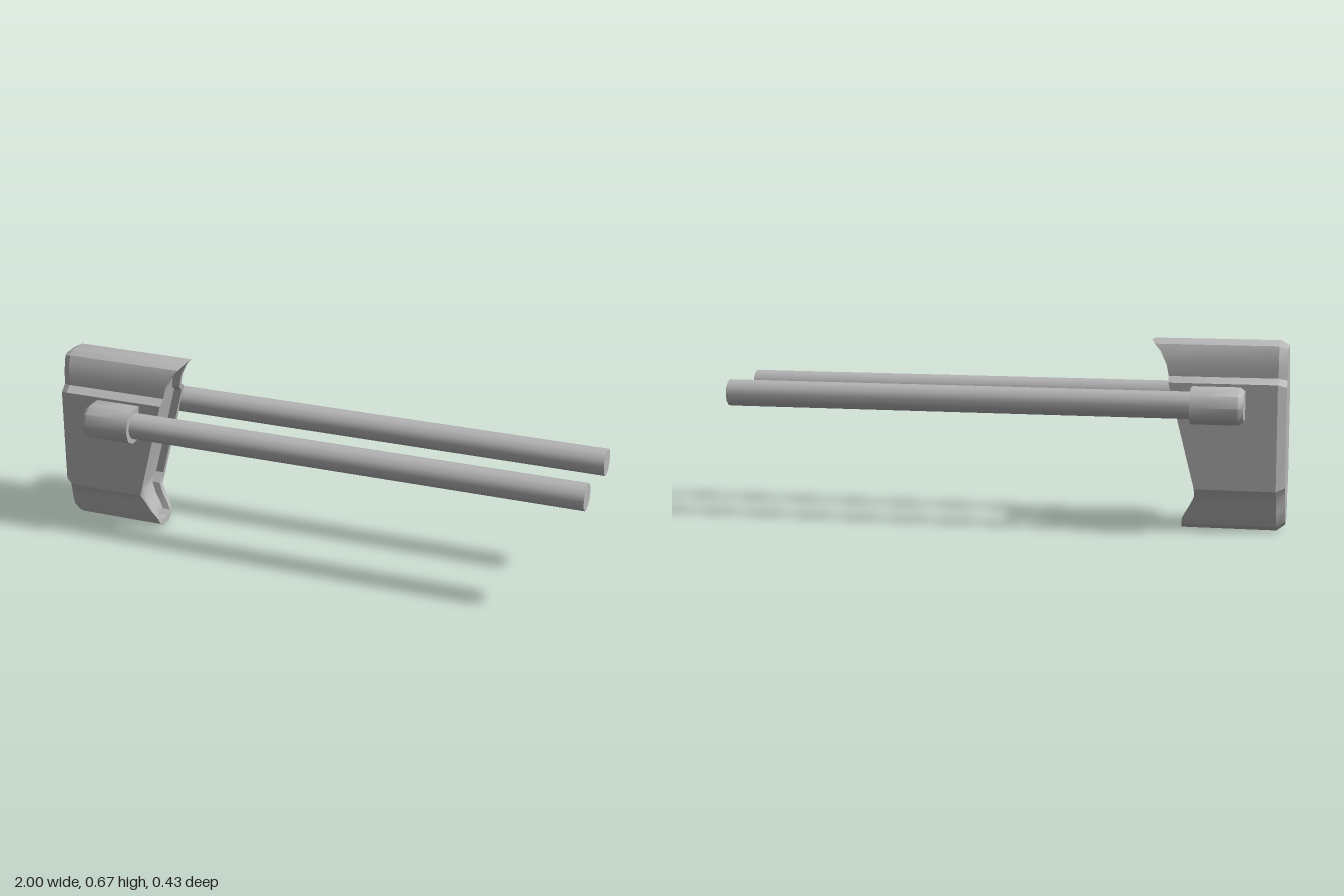
import * as THREE from 'three';
import { toCreasedNormals } from 'three/addons/utils/BufferGeometryUtils.js';

// Skins a list of equal-length rings [x, y, z] running back to front;
// both ends are capped by strips joining point i to point n-1-i.
function loft(rings, crease = 0.55) {
  const pos = [];
  const n = rings[0].length;
  const tri = (a, b, c) => pos.push(...a, ...b, ...c);
  const quad = (a, b, c, d) => { tri(a, b, c); tri(a, c, d); };
  for (let k = 0; k < rings.length - 1; k++) {
    const p = rings[k], q = rings[k + 1];
    for (let i = 0; i < n; i++) {
      const j = (i + 1) % n;
      quad(p[i], q[i], q[j], p[j]);
    }
  }
  const back = rings[0], front = rings[rings.length - 1];
  for (let i = 0; i < Math.floor((n - 1) / 2); i++) {
    const m = n - 1 - i;
    if (i + 1 === m - 1) {
      tri(front[i], front[m], front[i + 1]);
      tri(back[i], back[i + 1], back[m]);
    } else {
      quad(front[i], front[m], front[m - 1], front[i + 1]);
      quad(back[i], back[i + 1], back[m - 1], back[m]);
    }
  }
  const geo = new THREE.BufferGeometry();
  geo.setAttribute('position', new THREE.Float32BufferAttribute(pos, 3));
  geo.computeVertexNormals();
  return toCreasedNormals(geo, crease);
}

// Half outlines of the housing as [z, y], bottom to top
const OUTER = [[0.022, 0], [0.05, 0.018], [0.06, 0.04], [0.072, 0.075], [0.08, 0.118], [0.108, 0.152],
  [0.108, 0.525], [0.08, 0.545], [0.08, 0.585], [0.073, 0.63], [0.061, 0.655], [0.034, 0.667]];
const INNER = [[0.017, 0.022], [0.038, 0.035], [0.046, 0.058], [0.053, 0.09], [0.059, 0.13], [0.087, 0.163],
  [0.087, 0.515], [0.06, 0.537], [0.057, 0.58], [0.051, 0.62], [0.042, 0.644], [0.028, 0.651]];

// Front profile of the housing as [y, x]
const FRONT = [[0, -0.636], [0.035, -0.638], [0.058, -0.65], [0.09, -0.671], [0.118, -0.684], [0.14, -0.689],
  [0.525, -0.592], [0.545, -0.59], [0.585, -0.582], [0.63, -0.56], [0.655, -0.538], [0.667, -0.525]];

function frontX(y) {
  for (let i = 1; i < FRONT.length; i++) {
    const [y0, x0] = FRONT[i - 1], [y1, x1] = FRONT[i];
    if (y <= y1) return x0 + (x1 - x0) * (y - y0) / (y1 - y0);
  }
  return FRONT[FRONT.length - 1][1];
}

function housingRing(half, xAt) {
  const right = half.map(([z, y]) => [xAt(y), y, z]);
  const left = half.map(([z, y]) => [xAt(y), y, -z]).reverse();
  return [...right, ...left];
}

// Socket outline as [z, y], inner bottom round to inner top
const SOCKET = [[0.09, 0.39], [0.168, 0.39], [0.203, 0.41], [0.217, 0.453],
  [0.203, 0.494], [0.17, 0.515], [0.09, 0.515]];

function socketRing(x, scale, side) {
  const ring = SOCKET.map(([z, y]) =>
    [x, 0.453 + (y - 0.453) * scale, side * (0.15 + (z - 0.15) * scale)]);
  return side > 0 ? ring : ring.reverse();
}

export function createModel() {
  const model = new THREE.Group();
  const grey = new THREE.MeshStandardMaterial({ color: 0xb6b6b6 });
  grey.name = 'plain grey';

  const add = (name, geo) => {
    const mesh = new THREE.Mesh(geo, grey);
    mesh.name = name;
    model.add(mesh);
    return mesh;
  };

  // Housing: chamfered back, curved front rim and a shallow recess
  add('housing', loft([
    housingRing(INNER, () => -1),
    housingRing(OUTER, () => -0.97),
    housingRing(OUTER, frontX),
    housingRing(INNER, frontX),
    housingRing(INNER, (y) => frontX(y) - 0.03),
  ]));

  // A socket and a long rod on each side
  for (const [label, side] of [['left', -1], ['right', 1]]) {
    add(label + 'Socket', loft([
      socketRing(-0.86, 0.78, side),
      socketRing(-0.843, 1, side),
      socketRing(-0.677, 1, side),
    ], 0.75));

    const rod = add(label + 'Rod', new THREE.CylinderGeometry(0.048, 0.048, 1.7, 12));
    rod.rotation.z = -Math.PI / 2;
    rod.position.set(0.15, 0.453, side * 0.148);
  }
  return model;
}
